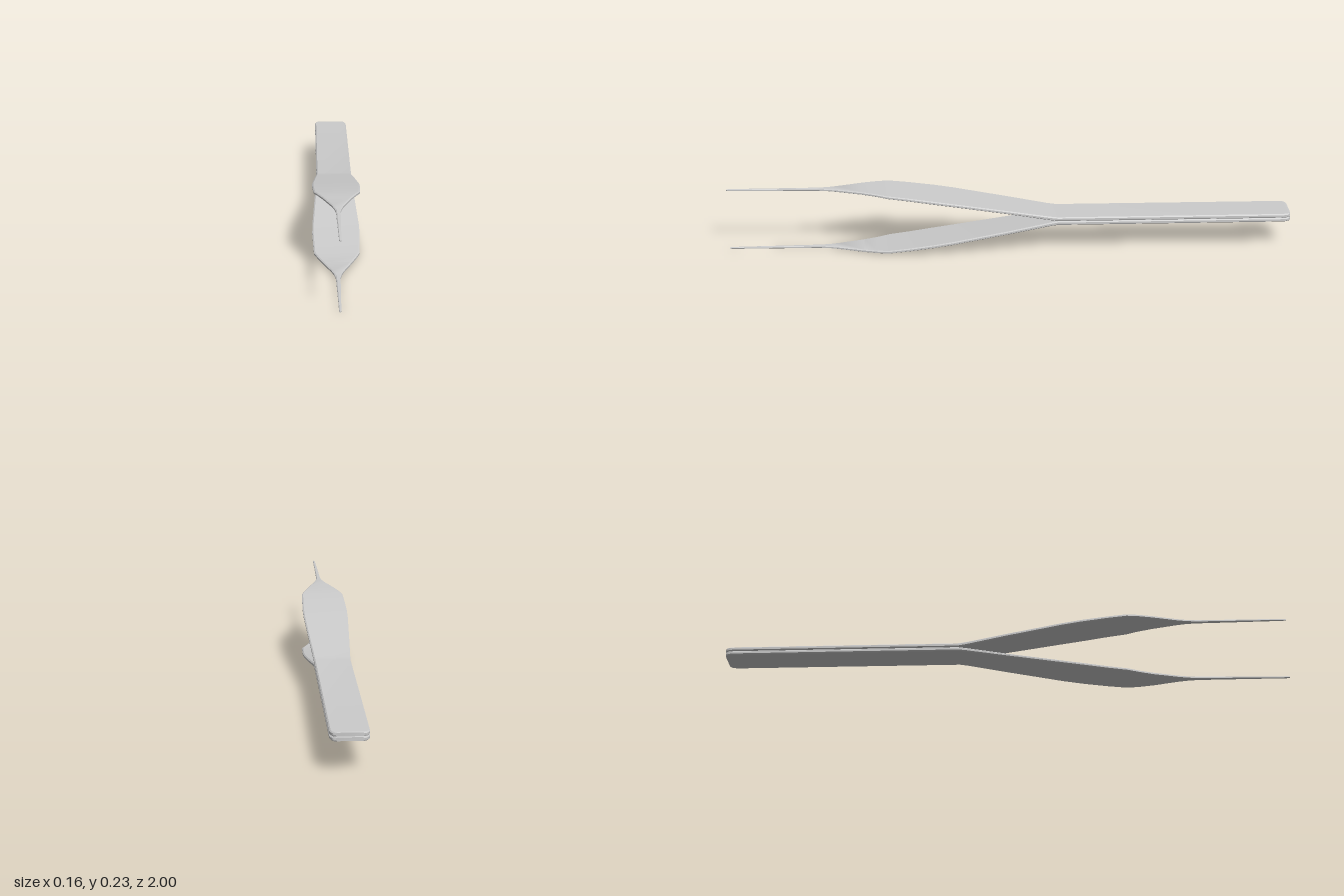
import * as THREE from 'three';
import { toCreasedNormals } from 'three/addons/utils/BufferGeometryUtils.js';

const HEIGHT = 0.232;

// Upper arm stations from back to tip: z, half width, centre height, thickness
const STATIONS = [
  [-1.0, 0.044, 0.1235, 0.012],
  [-0.996, 0.053, 0.1235, 0.0145],
  [-0.988, 0.059, 0.1235, 0.0145],
  [-0.972, 0.0625, 0.1235, 0.0145],
  [-0.17, 0.0635, 0.1235, 0.0145],
  [-0.14, 0.0645, 0.128, 0.0135],
  [0.0, 0.0715, 0.154, 0.012],
  [0.2, 0.0805, 0.189, 0.0115],
  [0.27, 0.0815, 0.2, 0.0115],
  [0.36, 0.079, 0.213, 0.011],
  [0.43, 0.0765, 0.2215, 0.0105],
  [0.47, 0.064, 0.225, 0.01],
  [0.52, 0.048, 0.227, 0.01],
  [0.61, 0.02, 0.227, 0.0095],
  [0.645, 0.012, 0.227, 0.009],
  [0.68, 0.0075, 0.227, 0.009],
  [0.8, 0.0058, 0.2275, 0.008],
  [0.99, 0.0035, 0.2285, 0.006],
  [1.0, 0.0022, 0.2285, 0.004],
];

// Strip cross-section with bevelled corners, anticlockwise seen from the tip
function ring([z, w, y, t]) {
  const h = t / 2;
  const by = h * 0.5;
  const bx = Math.min(0.0045, w * 0.45);
  return [
    [w, -h + by], [w, h - by], [w - bx, h], [-w + bx, h],
    [-w, h - by], [-w, -h + by], [-w + bx, -h], [w - bx, -h],
  ].map(([px, py]) => [px, y + py, z]);
}

// Loft the sections into a closed strip
function armGeometry() {
  const n = 8;
  const positions = STATIONS.flatMap(ring).flat();
  const index = [];
  for (let i = 0; i < STATIONS.length - 1; i++) {
    for (let j = 0; j < n; j++) {
      const a = i * n + j;
      const b = i * n + ((j + 1) % n);
      index.push(a, b, b + n, a, b + n, a + n);
    }
  }
  // End caps
  const last = (STATIONS.length - 1) * n;
  for (let j = 1; j < n - 1; j++) {
    index.push(0, j + 1, j);
    index.push(last, last + j, last + j + 1);
  }
  const geometry = new THREE.BufferGeometry();
  geometry.setAttribute('position', new THREE.Float32BufferAttribute(positions, 3));
  geometry.setIndex(index);
  return toCreasedNormals(geometry, 0.5);
}

export function createModel() {
  const group = new THREE.Group();
  group.name = 'tweezers';
  const material = new THREE.MeshStandardMaterial({ color: 0xcccccc });
  const geometry = armGeometry();

  const upperArm = new THREE.Mesh(geometry, material);
  upperArm.name = 'upperArm';

  // The lower arm is the upper one turned half round the long axis
  const lowerArm = new THREE.Mesh(geometry, material);
  lowerArm.name = 'lowerArm';
  lowerArm.rotation.z = Math.PI;
  lowerArm.position.y = HEIGHT;

  group.add(upperArm, lowerArm);
  return group;
}
